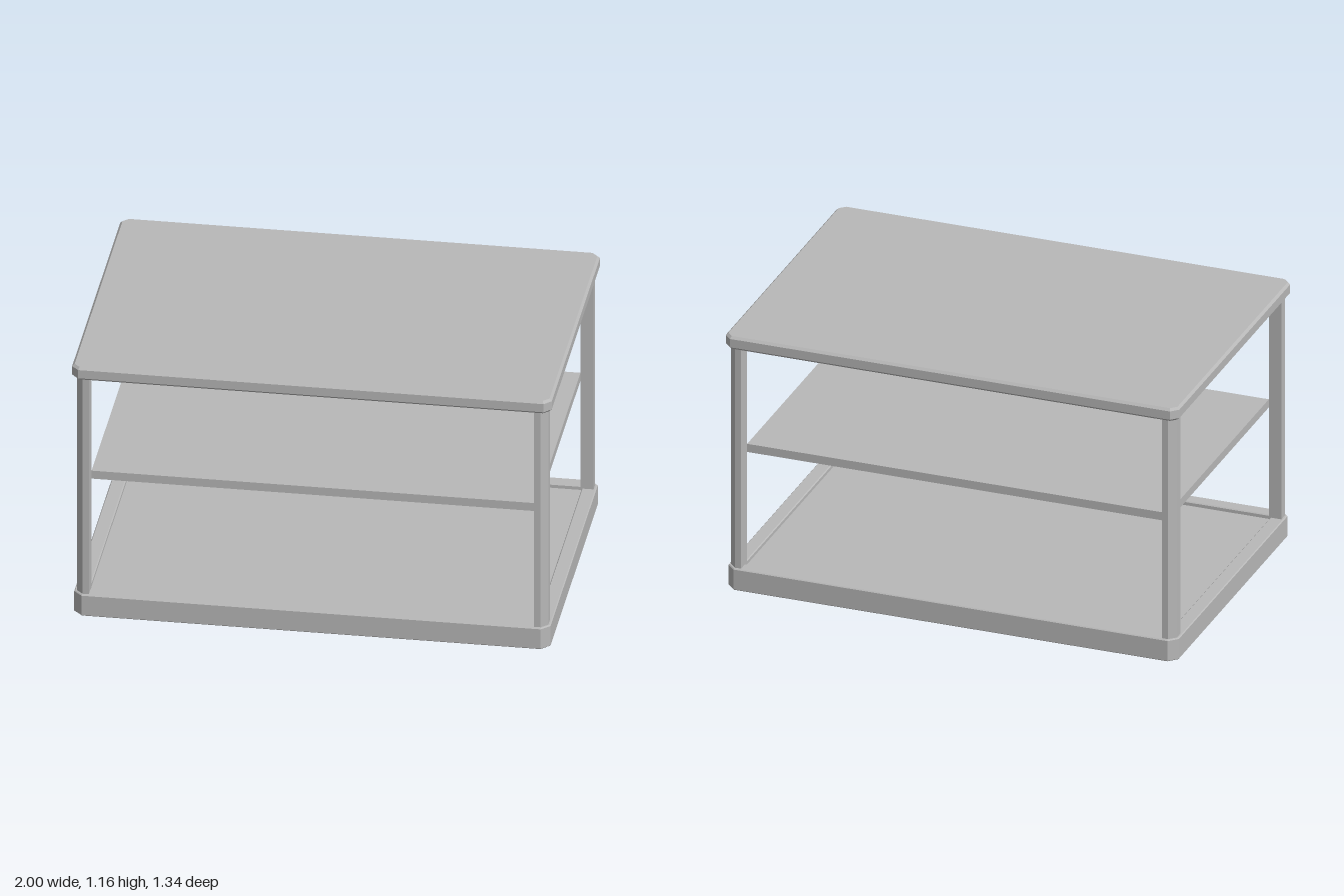
import * as THREE from 'three';

// Rectangle outline with clipped corners, as points around the centre
function clippedRect(hx, hz, c) {
  return [
    [hx, hz - c], [hx - c, hz], [c - hx, hz], [-hx, hz - c],
    [-hx, c - hz], [c - hx, -hz], [hx - c, -hz], [hx, c - hz],
  ].map(([x, z]) => new THREE.Vector2(x, z));
}

// Extrude a plan outline upward from y0 to y1, with an optional small edge bevel
function rise(shape, y0, y1, bevel = 0) {
  const geometry = new THREE.ExtrudeGeometry(shape, {
    depth: y1 - y0 - 2 * bevel,
    bevelEnabled: bevel > 0,
    bevelThickness: bevel,
    bevelSize: bevel,
    bevelOffset: -bevel,
    bevelSegments: 1,
  });
  geometry.rotateX(-Math.PI / 2);
  geometry.translate(0, y0 + bevel, 0);
  return geometry;
}

export function createModel() {
  const group = new THREE.Group();
  group.name = 'shelfTable';
  const grey = new THREE.MeshStandardMaterial({ color: 0xb8b8b8 });
  grey.name = 'grey';

  const add = (name, geometry) => {
    const mesh = new THREE.Mesh(geometry, grey);
    mesh.name = name;
    group.add(mesh);
    return mesh;
  };
  const slab = (name, hx, hz, y0, y1) =>
    add(name, new THREE.BoxGeometry(2 * hx, y1 - y0, 2 * hz)).position.set(0, (y0 + y1) / 2, 0);

  // Table top with clipped corners and bevelled edges
  add('tableTop', rise(new THREE.Shape(clippedRect(1, 0.67, 0.03)), 1.1, 1.158, 0.01));

  // Base frame, open in the middle, with a recessed floor panel
  const frame = new THREE.Shape(clippedRect(0.993, 0.663, 0.036));
  frame.holes.push(new THREE.Path([
    new THREE.Vector2(-0.933, -0.603), new THREE.Vector2(-0.933, 0.603),
    new THREE.Vector2(0.933, 0.603), new THREE.Vector2(0.933, -0.603),
  ]));
  add('baseFrame', rise(frame, 0, 0.098, 0.004));
  slab('floorPanel', 0.934, 0.604, 0.05, 0.08);

  // Middle shelf
  slab('middleShelf', 0.928, 0.582, 0.6, 0.637);

  // Corner posts, clipped on their outer corner
  const post = [[0.928, 0.582], [0.983, 0.582], [0.983, 0.624], [0.955, 0.652], [0.928, 0.652]];
  for (const [sx, sz, name] of [
    [1, 1, 'backLeftPost'], [-1, 1, 'backRightPost'],
    [1, -1, 'frontLeftPost'], [-1, -1, 'frontRightPost'],
  ]) {
    const outline = post.map(([x, z]) => new THREE.Vector2(sx * x, sz * z));
    add(name, rise(new THREE.Shape(outline), 0.095, 1.102));
  }
  return group;
}
